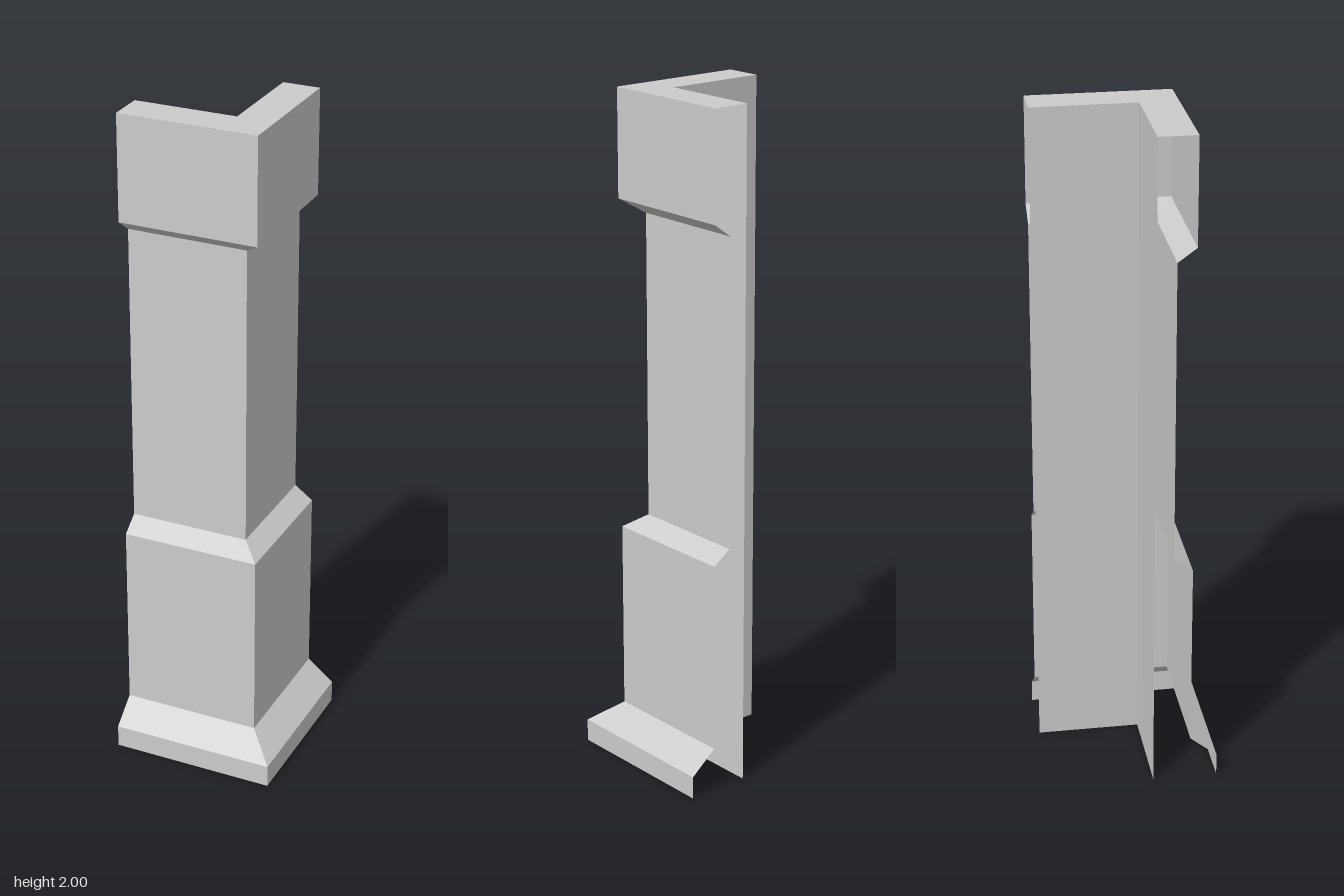
import * as THREE from 'three';

const END = -0.248; // where both arms of the corner stop

// Sweeps a profile of [offset, height] points round a mitred right-angle corner, open at both ends.
function cornerStrip(name, profile, material) {
  const rows = profile.map(([d, y]) => [[END, y, d], [d, y, d], [d, y, END]]);
  const positions = [];
  for (let i = 0; i < rows.length - 1; i++) {
    for (let s = 0; s < 2; s++) {
      const a = rows[i][s], b = rows[i][s + 1];
      const c = rows[i + 1][s + 1], d = rows[i + 1][s];
      positions.push(...a, ...b, ...c, ...a, ...c, ...d);
    }
  }
  const geometry = new THREE.BufferGeometry();
  geometry.setAttribute('position', new THREE.Float32BufferAttribute(positions, 3));
  geometry.computeVertexNormals();
  const mesh = new THREE.Mesh(geometry, material);
  mesh.name = name;
  return mesh;
}

export function createModel() {
  const material = new THREE.MeshStandardMaterial({
    color: 0xcccccc, flatShading: true, side: THREE.DoubleSide,
  });
  const base = 0.248, block = 0.168, shaft = 0.113, inner = 0.057;

  const parts = {
    // Plinth with sloped top
    plinth: [[base, 0], [base, 0.068], [block, 0.133]],
    // Lower block, stepping in to the shaft
    lowerBlock: [[block, 0.133], [block, 0.7], [shaft, 0.74]],
    shaft: [[shaft, 0.74], [shaft, 1.645]],
    // Capital, flaring out and closed on top
    capital: [[shaft, 1.645], [block, 1.685], [block, 2], [inner, 2]],
    // Plain faces at the inside of the corner
    innerWall: [[inner, 2], [inner, 0]],
  };

  const group = new THREE.Group();
  group.name = 'cornerPilaster';
  for (const [name, profile] of Object.entries(parts)) {
    group.add(cornerStrip(name, profile, material));
  }
  return group;
}
